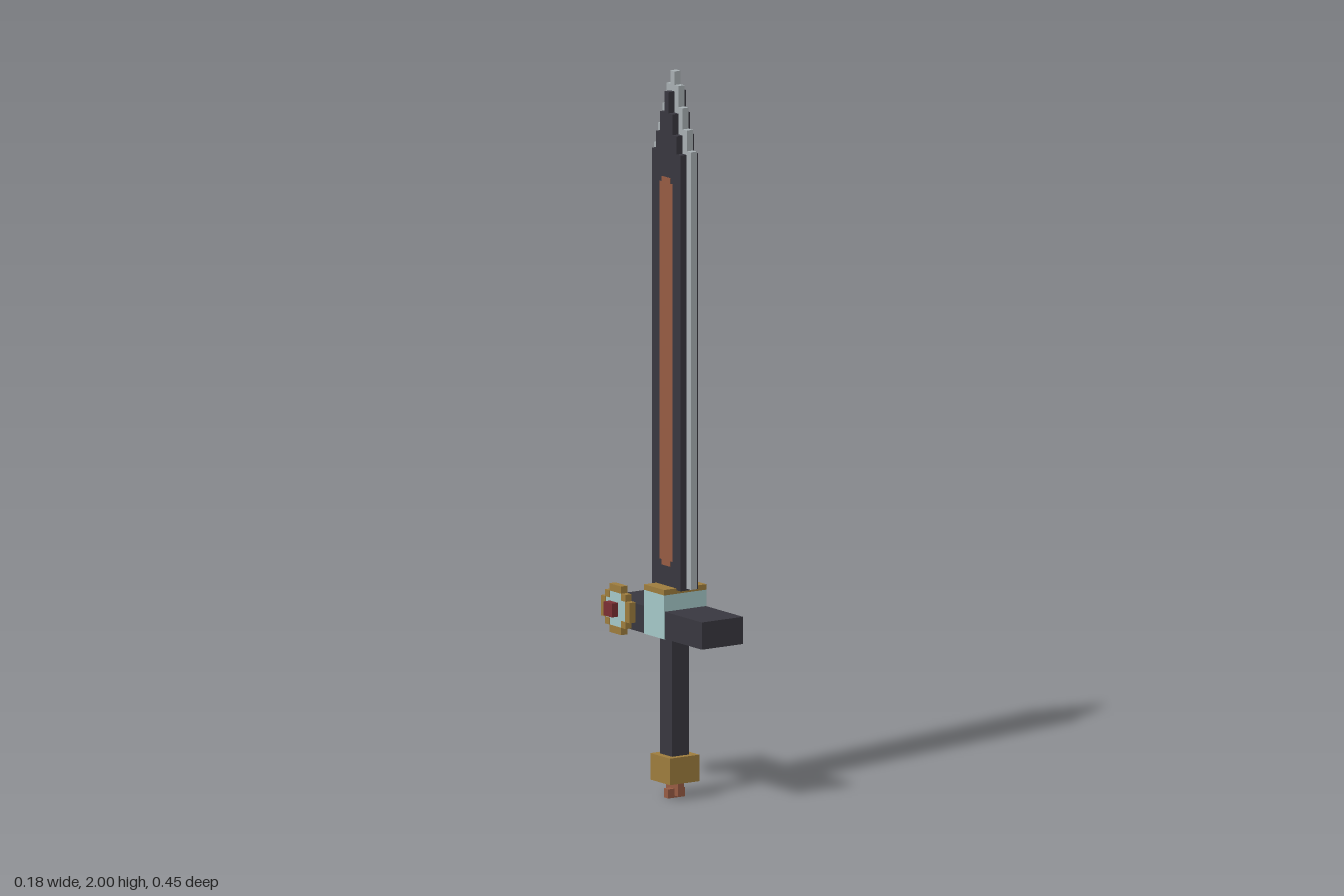
import * as THREE from 'three';

const paint = (name, color) => {
  const m = new THREE.MeshStandardMaterial({ color });
  m.name = name;
  return m;
};

// Symmetric stepped outline from [halfWidth, topY] rows, starting at bottomY
function stepped(rows, bottomY, PathType = THREE.Shape) {
  const right = [];
  let y = bottomY;
  for (const [w, top] of rows) {
    right.push([w, y], [w, top]);
    y = top;
  }
  const left = right.map(([w, h]) => [-w, h]).reverse();
  return new PathType([...right, ...left].map(([a, b]) => new THREE.Vector2(a, b)));
}

export function createModel() {
  const sword = new THREE.Group();
  sword.name = 'sword';

  const dark = paint('dark iron', 0x393840);
  const steel = paint('pale steel', 0xa9b1b4);
  const copper = paint('copper', 0x985c44);
  const gold = paint('old gold', 0x9f7e3e);
  const teal = paint('pale teal', 0xa6caca);
  const red = paint('deep red', 0x7c3034);

  const add = (name, geometry, material) => {
    const mesh = new THREE.Mesh(geometry, material);
    mesh.name = name;
    sword.add(mesh);
    return mesh;
  };
  const box = (name, material, x0, x1, y0, y1, z0, z1) => {
    const g = new THREE.BoxGeometry(x1 - x0, y1 - y0, z1 - z0);
    g.translate((x0 + x1) / 2, (y0 + y1) / 2, (z0 + z1) / 2);
    return add(name, g, material);
  };
  // Outline drawn in the z-y plane, extruded between two x positions
  const slab = (name, material, shape, x0, x1, y = 0, z = 0) => {
    const g = new THREE.ExtrudeGeometry(shape, { depth: x1 - x0, bevelEnabled: false });
    g.rotateY(Math.PI / 2);
    g.translate(x0, y, z);
    return add(name, g, material);
  };

  // Blade: thin steel edge through a thicker dark body
  slab('bladeEdge', steel, stepped(
    [[0.087, 1.79], [0.068, 1.847], [0.048, 1.905], [0.029, 1.963], [0.01, 2]], 0.585), 0.009, 0.029);
  slab('bladeBody', dark, stepped(
    [[0.067, 1.78], [0.048, 1.83], [0.029, 1.887], [0.01, 1.945]], 0.58), -0.011, 0.047);

  // Copper inlay on both faces
  const inlay = stepped([[0.02, 0.655], [0.03, 1.695], [0.02, 1.71]], 0.64);
  slab('inlayLeft', copper, inlay, 0.045, 0.0485);
  slab('inlayRight', copper, inlay, -0.0125, -0.009);

  // Guard, collar and collar cap
  box('guard', dark, -0.049, 0.086, 0.45, 0.525, -0.224, 0.222);
  box('collar', teal, -0.051, 0.088, 0.449, 0.57, -0.048, 0.047);
  box('collarCap', gold, -0.051, 0.088, 0.57, 0.585, -0.048, 0.047);

  // Grip and pommel
  box('grip', dark, -0.012, 0.044, 0.11, 0.45, -0.028, 0.028);
  box('pommel', gold, -0.031, 0.065, 0.045, 0.118, -0.047, 0.046);
  box('pommelStud', copper, 0.008, 0.027, 0.006, 0.046, -0.028, 0.028);
  box('pommelCrossbar', copper, -0.012, 0.044, 0, 0.025, -0.01, 0.01);

  // Round badge on the right side of the guard
  const ring = stepped(
    [[0.028, -0.047], [0.048, -0.028], [0.067, 0.028], [0.048, 0.047], [0.028, 0.067]], -0.067);
  const centre = [[0.028, -0.028], [0.047, 0.028], [0.028, 0.047]];
  ring.holes.push(stepped(centre, -0.047, THREE.Path));
  slab('badgeRing', gold, ring, -0.069, -0.049, 0.5, -0.158);
  slab('badgePlate', teal, stepped(centre, -0.047), -0.067, -0.0495, 0.5, -0.158);
  box('badgeGem', red, -0.088, -0.067, 0.481, 0.519, -0.186, -0.147);

  return sword;
}
